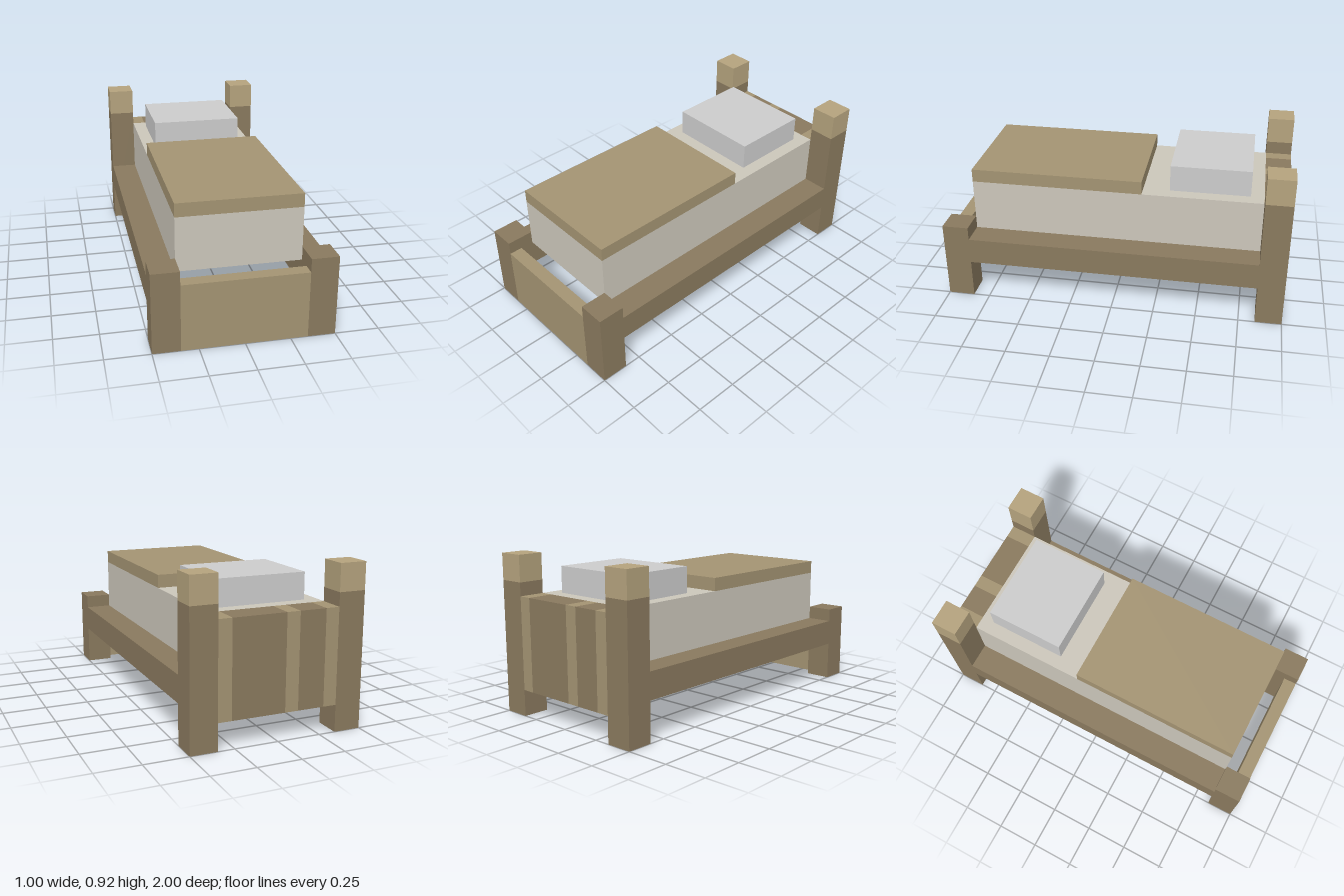
import * as THREE from 'three';

const U = 1 / 13; // the bed is laid out on a grid of 26 units along its length

const wood = (color) => new THREE.MeshStandardMaterial({ color });

// Box between two corners, given in grid units
function block(name, material, [x0, y0, z0], [x1, y1, z1]) {
  const geometry = new THREE.BoxGeometry((x1 - x0) * U, (y1 - y0) * U, (z1 - z0) * U);
  const mesh = new THREE.Mesh(geometry, material);
  mesh.name = name;
  mesh.position.set((x0 + x1) * U / 2, (y0 + y1) * U / 2, (z0 + z1) * U / 2);
  return mesh;
}

export function createModel() {
  const bed = new THREE.Group();
  bed.name = 'bed';
  const dark = wood(0x89795e);
  const mid = wood(0xa39372);
  const pale = wood(0xb4a27d);
  const sheet = wood(0xcbc6ba);
  const linen = wood(0xcccccc);

  // Posts and side rails, mirrored
  for (const [side, x] of [['right', -6.5], ['left', 4.5]]) {
    bed.add(
      block(side + 'BackPost', dark, [x, 0, -13], [x + 2, 10, -11]),
      block(side + 'BackPostCap', pale, [x, 10, -13], [x + 2, 12, -11]),
      block(side + 'FrontPost', dark, [x, 0, 11], [x + 2, 6, 13]),
      block(side + 'SideRail', dark, [x, 3, -11], [x + 2, 5, 11]),
    );
  }

  // Headboard of alternating planks
  const headboard = new THREE.Group();
  headboard.name = 'headboard';
  let x = -4.5;
  [1, 2, 1, 4, 1].forEach((width, i) => {
    headboard.add(block('plank' + (i + 1), i % 2 ? dark : mid, [x, 2, -13], [x + width, 9, -11]));
    x += width;
  });
  bed.add(headboard);

  // Footboard and bedding
  bed.add(
    block('footboard', mid, [-4.5, 0, 12], [4.5, 5, 13]),
    block('mattress', sheet, [-4.5, 5, -11], [4.5, 9, 11]),
    block('blanket', mid, [-4.5, 9, -2], [4.5, 10, 11]),
    block('pillow', linen, [-3.5, 9, -10], [3.5, 11, -4]),
  );
  return bed;
}
